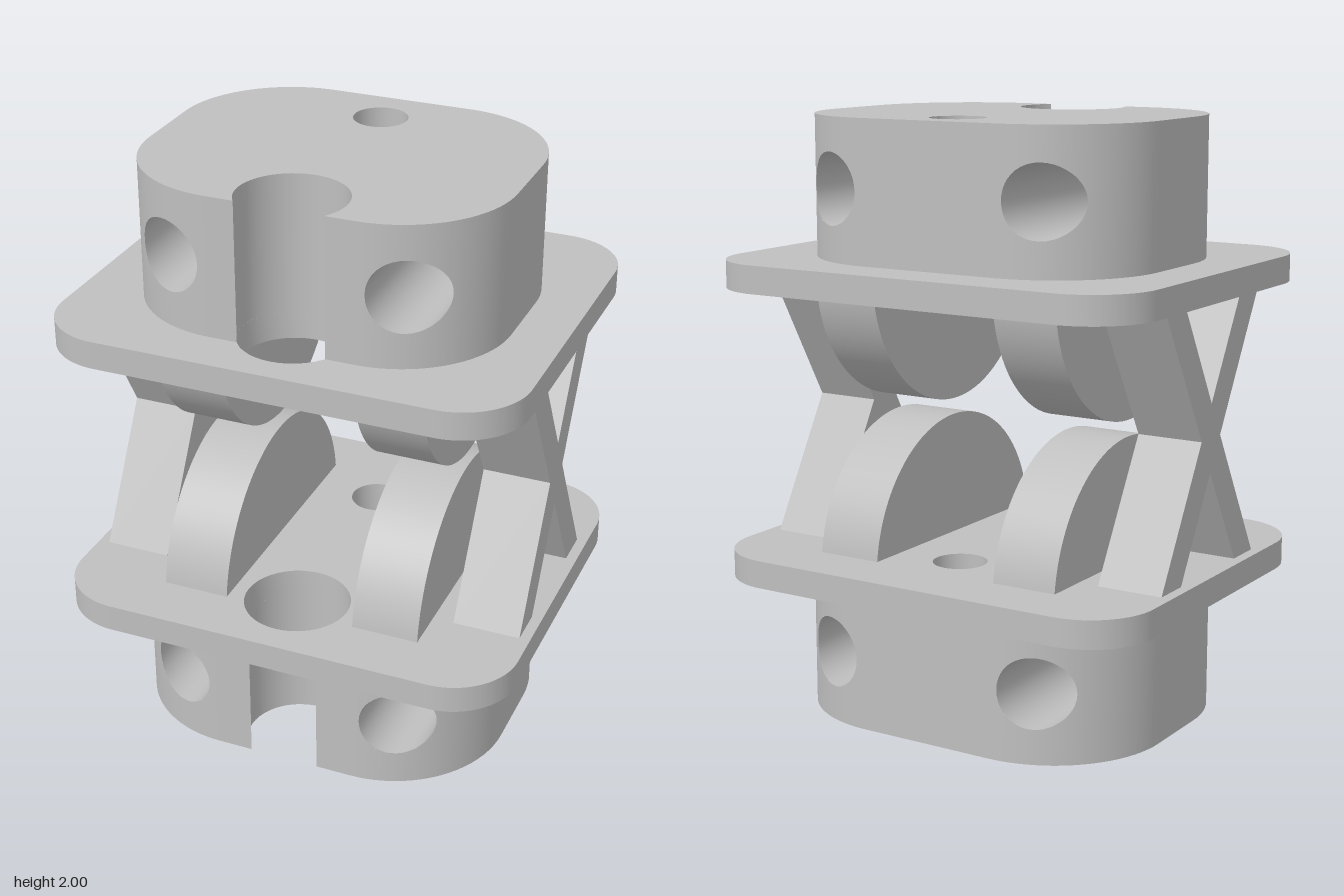
import * as THREE from 'three';
import { toCreasedNormals } from 'three/addons/utils/BufferGeometryUtils.js';

const BIG = { z: 0.395, r: 0.177 };    // vertical bore that breaks through the front wall
const SMALL = { z: -0.315, r: 0.09 };  // vertical bore near the back
const CROSS = { x: 0.39, r: 0.118 };   // horizontal bores, front to back

// Arc of a vertical bore as [x, z] points, t running from -T to T
function boreArc(bore, T, n = 40) {
  return Array.from({ length: n + 1 }, (_, i) => {
    const t = -T + (2 * T * i) / n;
    return [bore.r * Math.sin(t), bore.z - bore.r * Math.cos(t)];
  });
}

// Rounded block with two crossing bores, one vertical bore and a front notch
function blockGeometry(X, Z, y0, y1, holeY) {
  const cornerX = 0.24, R = X - cornerX, cornerZ = Z - R;
  const pos = [];
  const tri = (a, b, c) => pos.push(...a, ...b, ...c);
  const quad = (a, b, c, d) => { tri(a, b, c); tri(a, c, d); };
  const depth = (x) => {
    const d = Math.max(0, Math.abs(x) - cornerX);
    return cornerZ + Math.sqrt(Math.max(0, R * R - d * d));
  };
  const T = Math.acos(-(Z - BIG.z) / BIG.r);
  const notch = BIG.r * Math.sin(T);

  // column positions: notch edge, corner arc and bore circle
  const half = [notch];
  for (let i = 0; i <= 20; i++) half.push(cornerX + R * Math.sin((i / 20) * Math.PI / 2));
  for (let i = 0; i <= 20; i++) half.push(CROSS.x + CROSS.r * Math.cos((i / 20) * Math.PI));
  half.sort((a, b) => a - b);
  const xs = [...half.map((x) => -x).reverse(), ...half];
  const gap = (x) => {
    const d = Math.abs(x) - CROSS.x;
    return Math.sqrt(Math.max(0, CROSS.r ** 2 - d * d));
  };

  // front and back walls, column by column around the bores
  for (let i = 0; i < xs.length - 1; i++) {
    const a = xs[i], b = xs[i + 1];
    if (b - a < 1e-6) continue;
    const inBore = Math.abs(Math.abs((a + b) / 2) - CROSS.x) < CROSS.r;
    const bands = inBore
      ? [[y0, y0, holeY - gap(a), holeY - gap(b)], [holeY + gap(a), holeY + gap(b), y1, y1]]
      : [[y0, y0, y1, y1]];
    for (const [la, lb, ha, hb] of bands) {
      const za = depth(a), zb = depth(b);
      if (a < -notch - 1e-6 || b > notch + 1e-6) quad([a, la, za], [b, lb, zb], [b, hb, zb], [a, ha, za]);
      quad([b, lb, -zb], [a, la, -za], [a, ha, -za], [b, hb, -zb]);
    }
  }
  // flat ends
  quad([X, y0, cornerZ], [X, y0, -cornerZ], [X, y1, -cornerZ], [X, y1, cornerZ]);
  quad([-X, y0, -cornerZ], [-X, y0, cornerZ], [-X, y1, cornerZ], [-X, y1, -cornerZ]);

  // horizontal bore walls
  for (const side of [-1, 1]) {
    const ring = [];
    for (let i = 0; i <= 40; i++) {
      const a = (i / 40) * Math.PI * 2;
      ring.push([side * CROSS.x + CROSS.r * Math.cos(a), holeY + CROSS.r * Math.sin(a)]);
    }
    for (let i = 0; i < 40; i++) {
      const [ax, ay] = ring[i], [bx, by] = ring[i + 1];
      quad([ax, ay, -depth(ax)], [ax, ay, depth(ax)], [bx, by, depth(bx)], [bx, by, -depth(bx)]);
    }
  }
  // notch and small bore walls
  const notchArc = boreArc(BIG, T), smallArc = boreArc(SMALL, Math.PI);
  for (const arc of [notchArc, smallArc]) {
    for (let i = 0; i < arc.length - 1; i++) {
      const [ax, az] = arc[i], [bx, bz] = arc[i + 1];
      quad([ax, y0, az], [bx, y0, bz], [bx, y1, bz], [ax, y1, az]);
    }
  }
  // top and bottom caps
  const uniq = xs.filter((x, i) => i === 0 || x - xs[i - 1] > 1e-6);
  const outline = [
    ...uniq.filter((x) => x > 0).map((x) => [x, depth(x)]),
    ...[...uniq].reverse().map((x) => [x, -depth(x)]),
    ...uniq.filter((x) => x < 0).map((x) => [x, depth(x)]),
    ...notchArc.slice(1, -1),
  ];
  const toV2 = ([x, z]) => new THREE.Vector2(x, -z);
  const contour = outline.map(toV2), hole = smallArc.slice(0, -1).map(toV2);
  const all = [...contour, ...hole];
  for (const [a, b, c] of THREE.ShapeUtils.triangulateShape(contour, [hole])) {
    const at = (i, y) => [all[i].x, y, -all[i].y];
    tri(at(a, y1), at(b, y1), at(c, y1));
    tri(at(c, y0), at(b, y0), at(a, y0));
  }
  const geo = new THREE.BufferGeometry();
  geo.setAttribute('position', new THREE.Float32BufferAttribute(pos, 3));
  return toCreasedNormals(geo, 0.5);
}

// Rounded plate with both vertical bores
function plateGeometry(thickness) {
  const X = 0.78, Z = 0.665, r = 0.225;
  const s = new THREE.Shape();
  s.absarc(X - r, Z - r, r, 0, Math.PI / 2);
  s.absarc(-X + r, Z - r, r, Math.PI / 2, Math.PI);
  s.absarc(-X + r, -Z + r, r, Math.PI, Math.PI * 1.5);
  s.absarc(X - r, -Z + r, r, Math.PI * 1.5, Math.PI * 2);
  for (const b of [BIG, SMALL]) s.holes.push(new THREE.Path().absarc(0, -b.z, b.r, 0, Math.PI * 2, true));
  const geo = new THREE.ExtrudeGeometry(s, { depth: thickness, bevelEnabled: false, curveSegments: 20 });
  return toCreasedNormals(geo.rotateX(-Math.PI / 2), 0.5);
}

// Side profile (z, y) extruded along x, centred on x = 0
function sideExtrude(shape, width) {
  const geo = new THREE.ExtrudeGeometry(shape, { depth: width, bevelEnabled: false, curveSegments: 40 });
  geo.translate(0, 0, -width / 2).rotateY(-Math.PI / 2);
  return toCreasedNormals(geo, 0.5);
}

export function createModel() {
  const model = new THREE.Group();
  const grey = new THREE.MeshStandardMaterial({ color: 0xbfbfbf });
  grey.name = 'plainGrey';
  const add = (name, geo, x = 0, y = 0) => {
    const mesh = new THREE.Mesh(geo, grey);
    mesh.name = name;
    mesh.position.set(x, y, 0);
    model.add(mesh);
  };

  // end blocks and plates
  add('lowerBlock', blockGeometry(0.64, 0.525, 0, 0.47, 0.235), 0, 0);
  add('upperBlock', blockGeometry(0.61, 0.495, 1.535, 2, 1.77), 0, 0);
  const plate = plateGeometry(0.092);
  add('lowerPlate', plate, 0, 0.47);
  add('upperPlate', plate, 0, 1.443);

  // crossed struts: one X-shaped outline about y = 0
  const H = 0.442, inner = 0.19, outer = 0.32, waist = 0.065;
  const notchY = (H * waist) / ((inner + outer) / 2);
  const cross = new THREE.Shape([
    [inner, -H], [outer, -H], [waist, 0], [outer, H], [inner, H], [0, notchY],
    [-inner, H], [-outer, H], [-waist, 0], [-outer, -H], [-inner, -H], [0, -notchY],
  ].map(([z, y]) => new THREE.Vector2(z, y)));
  const strutGeo = sideExtrude(cross, 0.225);

  // rolling rockers: circular segments standing on each plate
  const r = 0.47, sink = 0.057, a = Math.asin(sink / r);
  const segment = (up) => {
    const s = new THREE.Shape();
    s.absarc(0, -up * sink, r, up > 0 ? a : Math.PI + a, up > 0 ? Math.PI - a : Math.PI * 2 - a);
    s.closePath();
    return sideExtrude(s, 0.225);
  };
  const lowerGeo = segment(1), upperGeo = segment(-1);

  for (const [side, label] of [[1, 'left'], [-1, 'right']]) {
    add(label + 'CrossedStruts', strutGeo, side * 0.632, 1.0025);
    add(label + 'LowerRocker', lowerGeo, side * 0.337, 0.562);
    add(label + 'UpperRocker', upperGeo, side * 0.337, 1.443);
  }
  return model;
}
